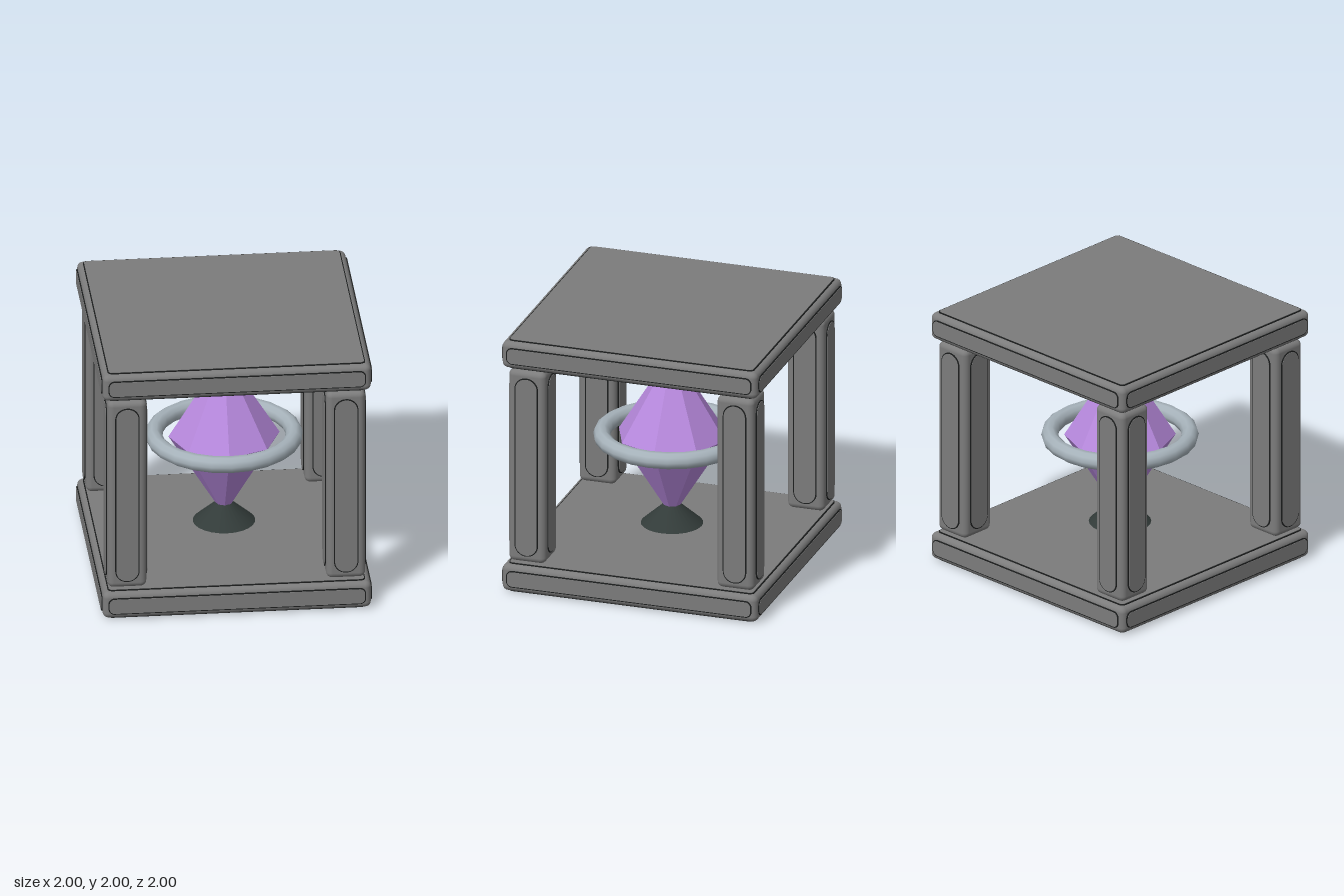
import * as THREE from 'three';
import { RoundedBoxGeometry } from 'three/addons/geometries/RoundedBoxGeometry.js';

const mat = (name, color, flatShading = false) => {
  const m = new THREE.MeshStandardMaterial({ color, flatShading });
  m.name = name;
  return m;
};

// Flat plate with rounded corners, lying on z = 0 and rising to z = depth
function plateGeometry(w, h, r, depth) {
  const x = w / 2, y = h / 2, s = new THREE.Shape();
  s.moveTo(-x + r, -y);
  s.lineTo(x - r, -y);
  s.absarc(x - r, -y + r, r, -Math.PI / 2, 0);
  s.lineTo(x, y - r);
  s.absarc(x - r, y - r, r, 0, Math.PI / 2);
  s.lineTo(-x + r, y);
  s.absarc(-x + r, y - r, r, Math.PI / 2, Math.PI);
  s.lineTo(-x, -y + r);
  s.absarc(-x + r, -y + r, r, Math.PI, Math.PI * 1.5);
  return new THREE.ExtrudeGeometry(s, { depth, bevelEnabled: false, curveSegments: 4 });
}

export function createModel() {
  const stone = mat('stone grey', 0x7c7c7c);
  const groove = mat('groove black', 0x1c1e1e);
  const iron = mat('dark iron', 0x323b39);
  const crystalMat = mat('crystal purple', 0xb688dc, true);
  const silver = mat('silver', 0xa6b2ba);

  const model = new THREE.Group();
  const add = (parent, name, geometry, material) => {
    const mesh = new THREE.Mesh(geometry, material);
    mesh.name = name;
    parent.add(mesh);
    return mesh;
  };

  // Rounded block with a dark-rimmed raised panel on each of its six faces
  function block(name, w, h, d, margin, sideRadius, endRadius, x, y, z) {
    const g = new THREE.Group();
    g.name = name;
    add(g, 'core', new RoundedBoxGeometry(w, h, d, 3, 0.045), stone);
    const faces = [
      [w, h, d, 0, 0, sideRadius], [w, h, d, 0, Math.PI, sideRadius],
      [d, h, w, 0, Math.PI / 2, sideRadius], [d, h, w, 0, -Math.PI / 2, sideRadius],
      [w, d, h, -Math.PI / 2, 0, endRadius], [w, d, h, Math.PI / 2, 0, endRadius],
    ];
    for (const [fw, fh, depth, rx, ry, r] of faces) {
      const face = new THREE.Group();
      face.name = 'facePanel';
      face.rotation.set(rx, ry, 0);
      const pw = fw - margin * 2, ph = fh - margin * 2;
      add(face, 'panelRim', plateGeometry(pw, ph, r, 0.008), groove).position.z = depth / 2 - 0.001;
      add(face, 'panel', plateGeometry(pw - 0.016, ph - 0.016, r - 0.008, 0.009), stone)
        .position.z = depth / 2 + 0.001;
      g.add(face);
    }
    g.position.set(x, y, z);
    model.add(g);
  }

  // Base and roof slabs
  block('baseSlab', 1.98, 0.21, 1.98, 0.04, 0.045, 0.035, 0, 0.115, 0);
  block('roofSlab', 1.98, 0.21, 1.98, 0.04, 0.045, 0.035, 0, 1.885, 0);

  // Four corner pillars
  for (const sx of [-1, 1]) for (const sz of [-1, 1]) {
    block('cornerPillar', 0.288, 1.52, 0.288, 0.054, 0.088, 0.05, sx * 0.807, 1, sz * 0.807);
  }

  // Faceted double-pointed crystal
  const crystal = add(model, 'crystal', new THREE.LatheGeometry(
    [[0, -0.656], [0.41, 0], [0, 0.656]].map(([x, y]) => new THREE.Vector2(x, y)), 8), crystalMat);
  crystal.position.y = 1;

  // Ring floating around the crystal
  const ring = add(model, 'ring', new THREE.TorusGeometry(0.516, 0.063, 10, 24), silver);
  ring.rotation.x = Math.PI / 2;
  ring.position.y = 1;

  // Cone holders whose tips sink into the crystal
  const cone = new THREE.ConeGeometry(0.23, 0.204, 24);
  add(model, 'lowerHolder', cone, iron).position.y = 0.402;
  const upper = add(model, 'upperHolder', cone, iron);
  upper.rotation.x = Math.PI;
  upper.position.y = 1.608;

  return model;
}
